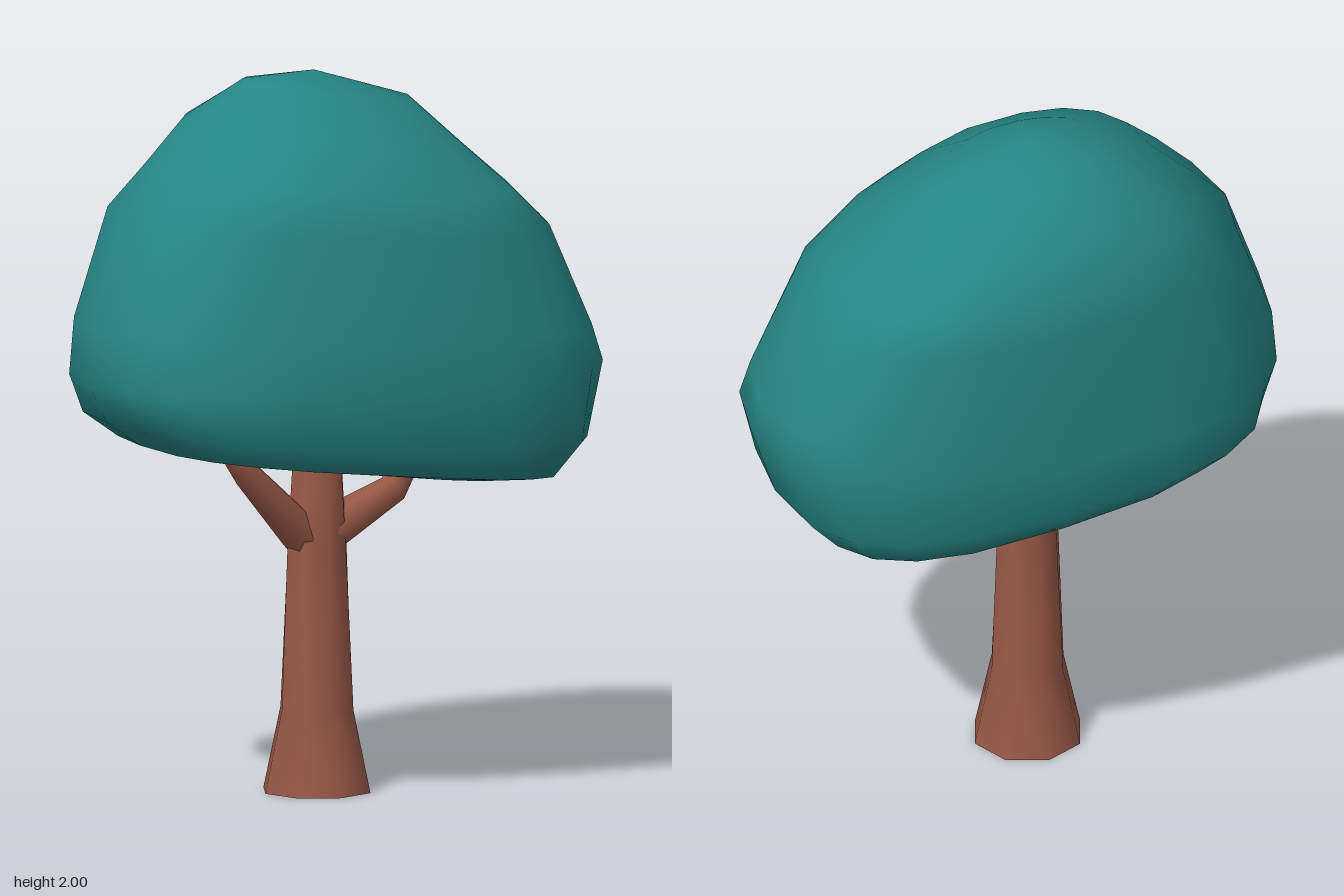
import * as THREE from 'three';

const leafMat = new THREE.MeshStandardMaterial({ color: 0x268686 });
const barkMat = new THREE.MeshStandardMaterial({ color: 0x985847, side: THREE.DoubleSide });

// Closed smooth skin over a list of rings; the first and last ring are poles
function loft(rings, sides) {
  const pos = [], index = [];
  const last = rings.length - 1;
  rings.forEach((ring, i) => {
    const n = i === 0 || i === last ? 1 : sides;
    for (let j = 0; j < n; j++) pos.push(...ring((j / sides) * Math.PI * 2));
  });
  const id = (i, j) => (i === 0 ? 0 : 1 + (i - 1) * sides + (i === last ? 0 : j % sides));
  for (let i = 0; i < last; i++) {
    for (let j = 0; j < sides; j++) {
      const a = id(i, j), b = id(i, j + 1), c = id(i + 1, j), d = id(i + 1, j + 1);
      if (i > 0) index.push(a, b, c);
      if (i < last - 1) index.push(b, d, c);
    }
  }
  const geo = new THREE.BufferGeometry();
  geo.setAttribute('position', new THREE.Float32BufferAttribute(pos, 3));
  geo.setIndex(index);
  geo.computeVertexNormals();
  return geo;
}

// Tilted superellipse ring: left end, right end, front and back depth,
// squareness and how much the front-left and back-right corners are drawn in
function crownRing([xl, yl, xr, yr, zf, zb, square, cut]) {
  const power = (v) => Math.sign(v) * Math.pow(Math.abs(v), 2 / square);
  return (a) => {
    const u = power(Math.cos(a)), w = power(Math.sin(a));
    const s = 1 - cut * Math.max(0, u * w) * (u > 0 ? 1 : 0.5);
    return [
      (xl + xr) / 2 + (s * u * (xr - xl)) / 2,
      (yl + yr) / 2 + (u * (yr - yl)) / 2,
      (zf + zb) / 2 + (s * w * (zf - zb)) / 2,
    ];
  };
}

// Tapered limb through a few points, each [x, y, z, radius]
function limb(points, sides) {
  const p = points.map(([x, y, z]) => new THREE.Vector3(x, y, z));
  const rings = points.map(([, , , r], i) => {
    const dir = p[Math.min(i + 1, p.length - 1)].clone().sub(p[Math.max(i - 1, 0)]).normalize();
    const u = new THREE.Vector3(0, 0, 1).addScaledVector(dir, -dir.z).normalize();
    const v = u.clone().cross(dir);
    return (a) => p[i].clone().addScaledVector(u, r * Math.cos(a)).addScaledVector(v, r * Math.sin(a)).toArray();
  });
  const end = p[p.length - 1], start = p[0];
  return loft([() => end.toArray(), ...rings.reverse(), () => start.toArray()], sides);
}

export function createModel() {
  const tree = new THREE.Group();
  tree.name = 'tree';
  const add = (name, geo, mat) => {
    const mesh = new THREE.Mesh(geo, mat);
    mesh.name = name;
    tree.add(mesh);
    return mesh;
  };

  // Crown, from the top down and into the hollow underside
  const crown = [
    [-0.03, 2.0, -0.03, 2.0, -0.09, -0.09, 2, 0],
    [-0.23, 1.98, 0.26, 1.91, 0.08, -0.28, 2.1, 0.1],
    [-0.4, 1.88, 0.41, 1.77, 0.28, -0.42, 2.5, 0.16],
    [-0.52, 1.76, 0.53, 1.66, 0.39, -0.465, 2.6, 0.15],
    [-0.64, 1.64, 0.63, 1.56, 0.44, -0.5, 2.6, 0.13],
    [-0.75, 1.34, 0.74, 1.28, 0.49, -0.5, 2.6, 0.09],
    [-0.76, 1.18, 0.76, 1.18, 0.5, -0.5, 2.65, 0.06],
    [-0.7, 1.07, 0.69, 0.97, 0.49, -0.495, 2.9, 0.02],
    [-0.6, 1.0, 0.6, 0.87, 0.43, -0.43, 2.9, 0],
    [-0.48, 0.985, 0.47, 0.855, 0.31, -0.31, 2.6, 0],
    [-0.31, 1.01, 0.31, 0.94, 0.2, -0.2, 2.4, 0],
    [0, 1.02, 0, 1.02, 0, 0, 2, 0],
  ];
  add('crown', loft(crown.map(crownRing), 20), leafMat);

  // Trunk with flared open foot, flattened front to back higher up
  const profile = [[0.157, 0], [0.107, 0.23], [0.09, 0.68], [0.068, 1.02], [0, 1.03]];
  const trunkGeo = new THREE.LatheGeometry(profile.map(([r, y]) => new THREE.Vector2(r, y)), 8);
  const v = trunkGeo.attributes.position;
  for (let i = 0; i < v.count; i++) if (v.getY(i) > 0.5) v.setZ(i, v.getZ(i) * 0.83);
  add('trunk', trunkGeo, barkMat).position.x = -0.063;

  // Branches
  add('leftBranch', limb([
    [-0.1, 0.65, 0, 0.05], [-0.02, 0.73, 0, 0.062], [0.18, 0.82, -0.03, 0.043], [0.28, 0.95, -0.08, 0.037],
  ], 7), barkMat);
  add('rightBranch', limb([
    [-0.03, 0.62, 0, 0.05], [-0.12, 0.73, 0.005, 0.058], [-0.3, 0.905, 0.06, 0.04], [-0.375, 1.01, 0.07, 0.035],
  ], 7), barkMat);

  return tree;
}
